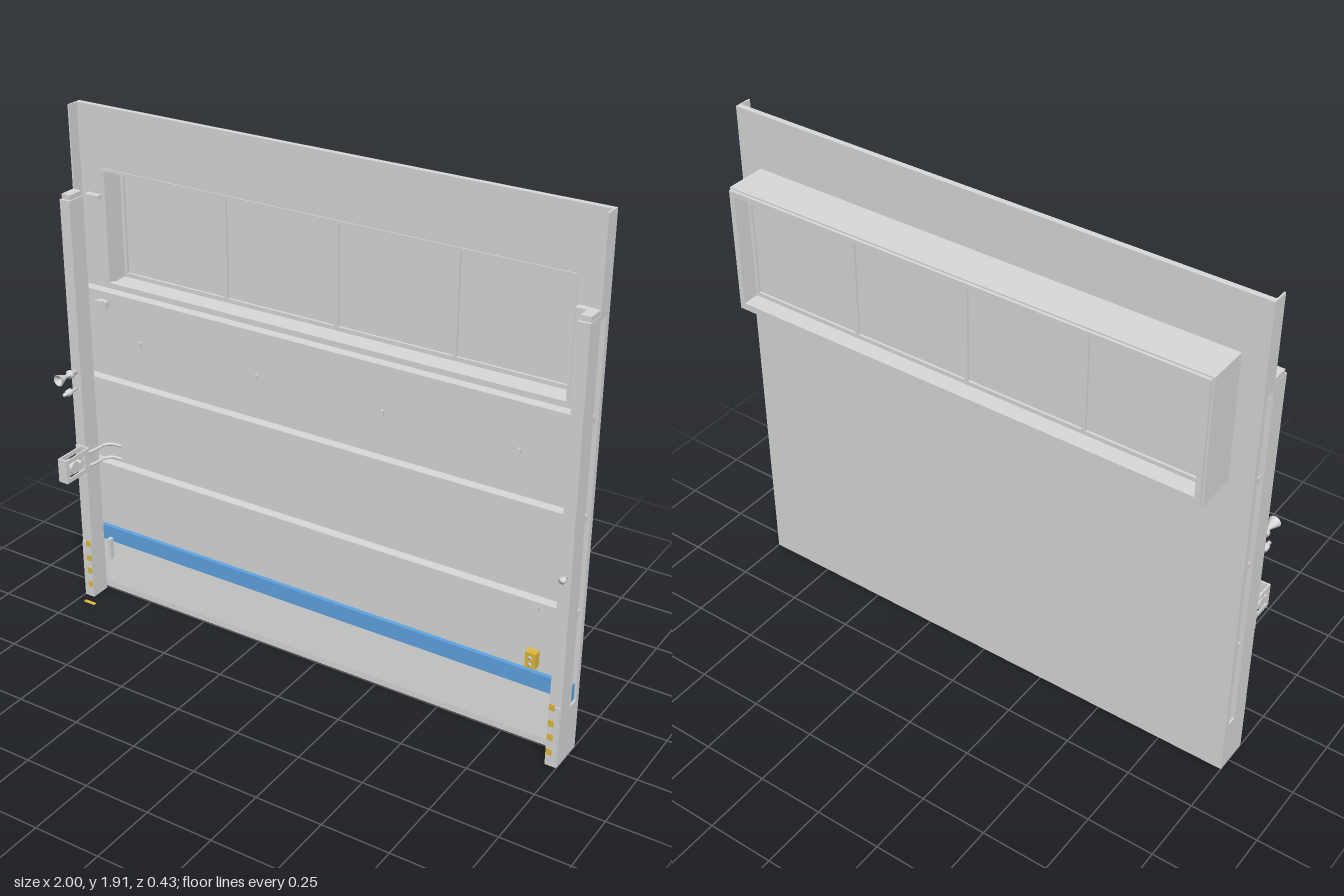
import * as THREE from 'three';

const material = (name, hex) => {
  const m = new THREE.MeshStandardMaterial({ color: hex });
  m.name = name;
  return m;
};

export function createModel() {
  const grey = material('painted grey', 0xd9dadb);
  const blue = material('blue band', 0x5fa5e2);
  const yellow = material('safety yellow', 0xe0bb3a);

  const model = new THREE.Group();
  model.name = 'sectionalGate';

  const add = (name, geometry, mat = grey, parent = model) => {
    const mesh = new THREE.Mesh(geometry, mat);
    mesh.name = name;
    parent.add(mesh);
    return mesh;
  };
  // Box given by its limits on each axis
  const box = (name, [x0, x1], [y0, y1], [z0, z1], mat = grey, parent = model) => {
    const g = new THREE.BoxGeometry(x1 - x0, y1 - y0, z1 - z0);
    g.translate((x0 + x1) / 2, (y0 + y1) / 2, (z0 + z1) / 2);
    return add(name, g, mat, parent);
  };
  const rectPoints = (x0, x1, y0, y1) =>
    [[x0, y0], [x1, y0], [x1, y1], [x0, y1]].map(([x, y]) => new THREE.Vector2(x, y));
  // Plate with one rectangular opening, extruded along z
  const framed = (outer, inner, depth) => {
    const shape = new THREE.Shape(rectPoints(...outer));
    shape.holes.push(new THREE.Path(rectPoints(...inner).reverse()));
    return new THREE.ExtrudeGeometry(shape, { depth, bevelEnabled: false });
  };
  // Turned part whose axis runs along +z
  const turned = (points, segments = 20) =>
    new THREE.LatheGeometry(points.map(([r, h]) => new THREE.Vector2(r, h)), segments).rotateX(Math.PI / 2);

  // Main panel with window opening
  add('panel', framed([-1, 1, 0, 1.915], [-0.895, 0.895, 1.27, 1.69], 0.02)).position.z = -0.052;

  // Window box on the back: casing, rim, frames, glazing and mullions
  const win = new THREE.Group();
  win.name = 'windowBox';
  model.add(win);
  add('casing', framed([-0.914, 0.914, 1.238, 1.71], [-0.895, 0.895, 1.265, 1.69], 0.152), grey, win).position.z = -0.204;
  add('rearRim', framed([-0.908, 0.908, 1.245, 1.705], [-0.888, 0.888, 1.27, 1.685], 0.011), grey, win).position.z = -0.215;
  add('frontFrame', framed([-0.9, 0.9, 1.263, 1.695], [-0.89, 0.89, 1.273, 1.685], 0.006), grey, win).position.z = -0.034;
  add('sash', framed([-0.896, 0.896, 1.264, 1.691], [-0.882, 0.882, 1.28, 1.677], 0.026), grey, win).position.z = -0.147;
  box('glazing', [-0.89, 0.89], [1.27, 1.685], [-0.138, -0.13], grey, win);
  for (const x of [-0.45, 0, 0.45]) {
    box('mullion', [x - 0.007, x + 0.007], [1.27, 1.685], [-0.147, -0.121], grey, win);
  }

  // Horizontal ribs between the door sections
  for (const [y0, y1] of [[1.225, 1.25], [0.88, 0.902], [0.533, 0.553]]) {
    box('rib', [-0.99, 0.99], [y0, y1], [-0.034, 0.005]);
  }

  // Blue band and sloping kick plate with a straight foot
  box('blueBand', [-0.992, 0.992], [0.202, 0.264], [-0.034, -0.016], blue);
  const kick = new THREE.Shape([[-0.034, 0], [-0.004, 0], [-0.004, 0.025], [-0.018, 0.202], [-0.034, 0.202]]
    .map(([z, y]) => new THREE.Vector2(-z, y)).reverse());
  const kickGeometry = new THREE.ExtrudeGeometry(kick, { depth: 1.98, bevelEnabled: false });
  kickGeometry.rotateY(Math.PI / 2).translate(-0.99, 0, 0);
  add('kickPlate', kickGeometry);

  // Side posts with slotted outer plates, mirrored
  for (const s of [-1, 1]) {
    const post = new THREE.Group();
    post.name = s > 0 ? 'leftPost' : 'rightPost';
    model.add(post);
    const span = (a, b) => (s > 0 ? [a, b] : [-b, -a]);
    box('channel', span(0.957, 1), [0, 1.597], [0.01, 0.083], grey, post);
    box('cap', span(0.962, 0.998), [1.597, 1.615], [0.01, 0.073], grey, post);
    box('headerFlange', span(0.994, 1), [1.58, 1.915], [-0.05, 0.01], grey, post);
    const plate = framed([-0.01, 0.052, 0, 1.6], [-0.009, 0.031, 0.202, 1.58], 0.006);
    plate.rotateY(Math.PI / 2).translate(s > 0 ? 0.994 : -1, 0, 0);
    add('slottedPlate', plate, grey, post);
    box('topBracket', span(0.908, 0.965), [1.582, 1.598], [-0.034, -0.008], grey, post);
    box('footPlate', span(0.957, 0.998), [0, 0.237], [0.083, 0.089], grey, post);
    for (const y of [0.233, 0.17, 0.115, 0.055]) {
      box('warningMark', span(0.959, 0.979), [y - 0.012, y + 0.012], [0.089, 0.091], yellow, post);
    }
  }

  // Small pins across the upper section
  for (const x of [-0.74, -0.24, 0.26, 0.76]) {
    box('pin', [x - 0.004, x + 0.004], [1.065, 1.09], [0, 0.01]);
  }

  // Upper latch
  box('latchBody', [-0.94, -0.9], [1.172, 1.2], [-0.034, -0.008]);
  box('latchArm', [-0.945, -0.91], [1.192, 1.205], [-0.012, -0.002]);

  // Signal horn, smaller button and knob on the posts
  const horn = add('horn', turned([[0, 0], [0.01, 0], [0.01, 0.025], [0.016, 0.026], [0.016, 0.036], [0.007, 0.04],
    [0.008, 0.06], [0.022, 0.095], [0.018, 0.097], [0, 0.07]]));
  horn.position.set(-0.98, 0.947, 0.083);
  const button = add('button', turned([[0, 0], [0.006, 0], [0.006, 0.025], [0.013, 0.03], [0.013, 0.05], [0.007, 0.052], [0.007, 0.07], [0, 0.072]]));
  button.position.set(-0.982, 0.878, 0.083);
  const knob = add('knob', turned([[0, 0], [0.007, 0], [0.007, 0.015], [0.012, 0.018], [0.012, 0.03], [0, 0.036]]));
  knob.position.set(0.982, 0.732, 0.083);

  // Lock case: open cheek plates around rollers, with two curved arms
  const lock = new THREE.Group();
  lock.name = 'lock';
  model.add(lock);
  box('backPlate', [-0.998, -0.938], [0.555, 0.648], [0.083, 0.09], grey, lock);
  for (const x of [-0.978, -0.944]) {
    const cheek = framed([-0.215, -0.09, 0.555, 0.648], [-0.2, -0.11, 0.572, 0.631], 0.006);
    add('cheek', cheek.rotateY(Math.PI / 2).translate(x, 0, 0), grey, lock);
  }
  box('frontPlate', [-0.975, -0.942], [0.555, 0.648], [0.207, 0.214], grey, lock);
  for (const [z, r] of [[0.13, 0.012], [0.165, 0.024], [0.195, 0.01]]) {
    const roller = new THREE.CylinderGeometry(r, r, 0.04, 16).rotateZ(Math.PI / 2);
    add('roller', roller, grey, lock).position.set(-0.958, 0.602, z);
  }
  for (const y of [0.575, 0.63]) {
    const path = new THREE.CatmullRomCurve3([[-0.945, 0.1], [-0.935, 0.06], [-0.93, 0.01], [-0.915, -0.012], [-0.87, -0.018]]
      .map(([x, z]) => new THREE.Vector3(x, y, z)));
    add('arm', new THREE.TubeGeometry(path, 20, 0.006, 8), grey, lock);
  }

  // Lower lever and control boxes
  box('lowerLever', [-0.946, -0.932], [0.13, 0.22], [-0.015, 0.005]);
  box('socket', [0.829, 0.851], [0.505, 0.526], [-0.034, -0.01]);
  box('controlBox', [0.819, 0.858], [0.285, 0.345], [-0.034, -0.003], yellow);
  for (const y of [0.302, 0.328]) {
    const stud = add('controlButton', turned([[0, 0], [0.007, 0], [0.007, 0.005], [0, 0.005]], 14));
    stud.position.set(0.839, y, -0.003);
  }

  // Yellow floor marker beside the lock post
  box('floorMarker', [-0.97, -0.92], [0, 0.002], [0.122, 0.136], yellow);

  return model;
}
